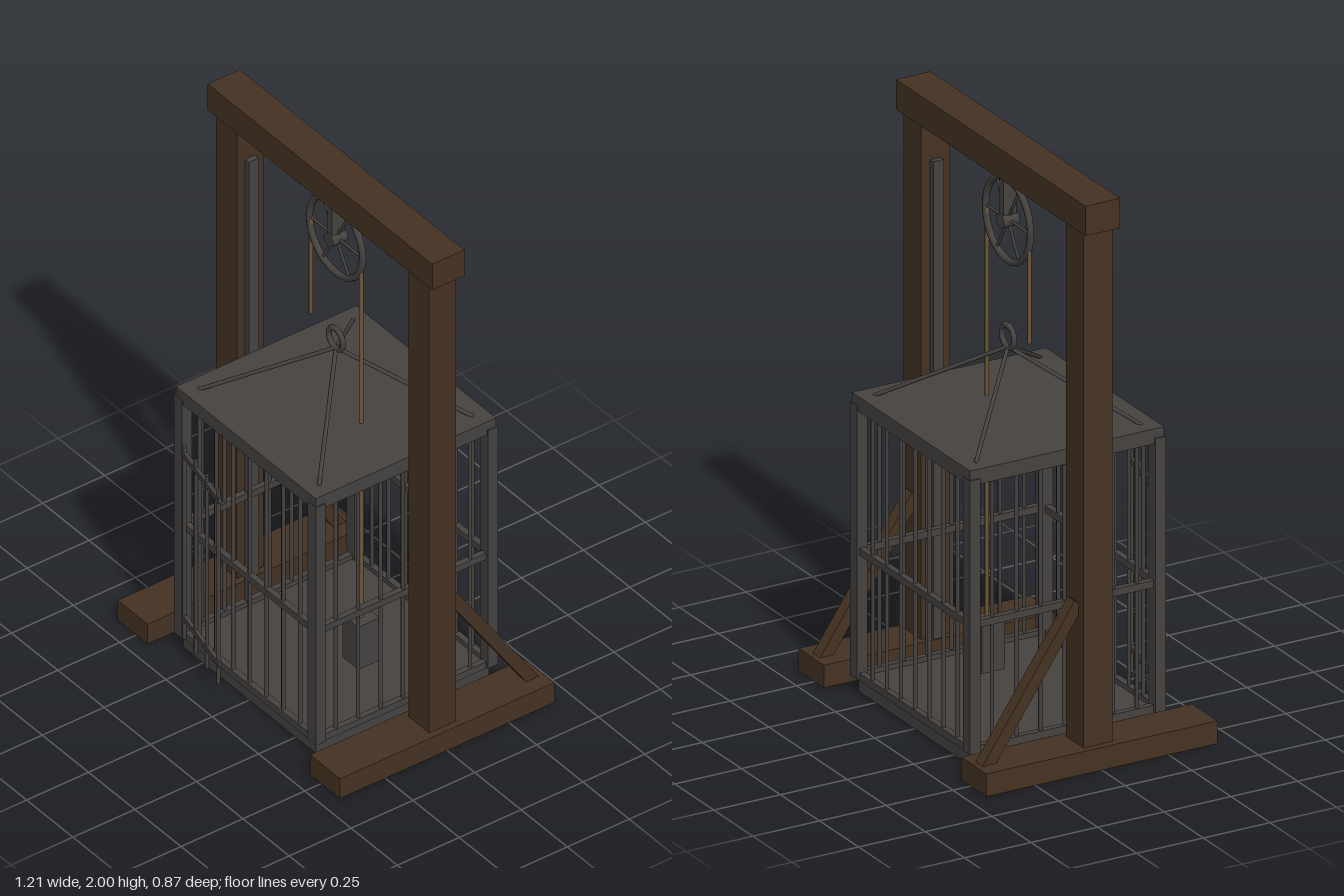
import * as THREE from 'three';

const wood = new THREE.MeshStandardMaterial({ color: 0x443222 });
const iron = new THREE.MeshStandardMaterial({ color: 0x454240 });
const hemp = new THREE.MeshStandardMaterial({ color: 0x6e5636 });

function add(parent, name, geometry, material, x = 0, y = 0, z = 0) {
  const mesh = new THREE.Mesh(geometry, material);
  mesh.name = name;
  mesh.position.set(x, y, z);
  parent.add(mesh);
  return mesh;
}

// Box given by its minimum and maximum corners
function box(parent, name, material, [x0, y0, z0], [x1, y1, z1]) {
  return add(parent, name, new THREE.BoxGeometry(x1 - x0, y1 - y0, z1 - z0), material,
    (x0 + x1) / 2, (y0 + y1) / 2, (z0 + z1) / 2);
}

// Round rod between two points
function rod(parent, name, material, a, b, radius) {
  const p = new THREE.Vector3(...a), q = new THREE.Vector3(...b);
  const dir = q.clone().sub(p);
  const mesh = add(parent, name, new THREE.CylinderGeometry(radius, radius, dir.length(), 8), material);
  mesh.position.copy(p).add(q).multiplyScalar(0.5);
  mesh.quaternion.setFromUnitVectors(new THREE.Vector3(0, 1, 0), dir.normalize());
  return mesh;
}

function buildFrame() {
  const g = new THREE.Group();
  g.name = 'gallowsFrame';
  box(g, 'crossBeam', wood, [-0.607, 1.895, -0.065], [0.607, 2, 0.065]);
  for (const s of [-1, 1]) {
    const x = s * 0.52;
    box(g, 'foot', wood, [x - 0.081, 0, -0.433], [x + 0.081, 0.08, 0.433]);
    box(g, 'post', wood, [x - 0.056, 0.08, -0.054], [x + 0.056, 1.895, 0.054]);
    // Iron guide rail on the inner side of the post
    const r = s * 0.455;
    box(g, 'guideRail', iron, [r - 0.011, 0.08, -0.02], [r + 0.011, 1.76, 0.02]);
    // Diagonal brace behind the post
    const brace = add(g, 'brace', new THREE.BoxGeometry(0.046, 0.62, 0.042), wood, x, 0.32, -0.225);
    brace.rotation.x = Math.atan2(0.34, 0.5);
  }
  return g;
}

function buildPulley() {
  const g = new THREE.Group();
  g.name = 'pulley';
  g.position.y = 1.717;
  add(g, 'wheelRim', new THREE.TorusGeometry(0.144, 0.012, 8, 32), iron);
  const hub = add(g, 'hub', new THREE.CylinderGeometry(0.025, 0.025, 0.06, 12), iron);
  hub.rotation.x = Math.PI / 2;
  for (let i = 0; i < 6; i++) {
    const a = i * Math.PI / 3;
    rod(g, 'spoke', iron, [0, 0, 0], [0.142 * Math.cos(a), 0.142 * Math.sin(a), 0], 0.005);
  }
  box(g, 'hanger', iron, [-0.013, -0.01, -0.025], [0.013, 0.18, 0.025]);
  // Ropes and counterweight
  rod(g, 'shortRope', hemp, [-0.136, 0, 0], [-0.136, -0.387, 0], 0.007);
  rod(g, 'longRope', hemp, [0.136, 0, 0], [0.136, -1.455, 0], 0.007);
  box(g, 'counterweight', iron, [0.093, -1.625, -0.043], [0.179, -1.453, 0.043]);
  return g;
}

function buildCage() {
  const g = new THREE.Group();
  g.name = 'cage';
  box(g, 'floorPlate', iron, [-0.36, 0, -0.35], [0.36, 0.055, 0.35]);
  box(g, 'roofPlate', iron, [-0.378, 0.995, -0.364], [0.378, 1.048, 0.364]);
  const X = 0.361, Z = 0.348;
  for (const s of [-1, 1]) {
    // Corner posts and suspension rods
    for (const t of [-1, 1]) {
      add(g, 'cornerPost', new THREE.BoxGeometry(0.044, 0.963, 0.04), iron, s * X, 0.5335, t * Z);
      rod(g, 'suspensionRod', iron, [s * 0.325, 1.045, t * 0.312], [0, 1.27, 0], 0.007);
    }
    // Bottom and middle rails on all four sides
    for (const [y, h] of [[0.06, 0.026], [0.5, 0.025]]) {
      add(g, 'frontBackRail', new THREE.BoxGeometry(2 * X, h, 0.022), iron, 0, y, s * Z);
      add(g, 'sideRail', new THREE.BoxGeometry(0.022, h, 2 * Z), iron, s * X, y, 0);
    }
    // Upright bars
    for (let i = -3; i <= 3; i++) {
      const p = i * 0.0905;
      rod(g, 'frontBackBar', iron, [p, 0.05, s * Z], [p, 1, s * Z], 0.007);
      rod(g, 'sideBar', iron, [s * X, 0.05, p], [s * X, 1, p], 0.007);
    }
  }
  add(g, 'liftingRing', new THREE.TorusGeometry(0.039, 0.01, 8, 24), iron, 0, 1.305, 0);
  return g;
}

// Barred door standing slightly open on the front
function buildDoor() {
  const g = new THREE.Group();
  g.name = 'door';
  g.position.set(-0.335, 0, 0.365);
  g.rotation.y = -0.215;
  for (let i = 0; i < 4; i++) {
    const x = 0.006 + i * 0.0885;
    rod(g, 'doorBar', iron, [x, 0.06, 0], [x, 0.84, 0], 0.007);
  }
  for (const y of [0.145, 0.805]) box(g, 'doorRail', iron, [0, y - 0.01, -0.007], [0.286, y + 0.01, 0.007]);
  return g;
}

export function createModel() {
  const model = new THREE.Group();
  model.name = 'hangingCage';
  model.add(buildFrame(), buildPulley(), buildCage(), buildDoor());
  return model;
}
